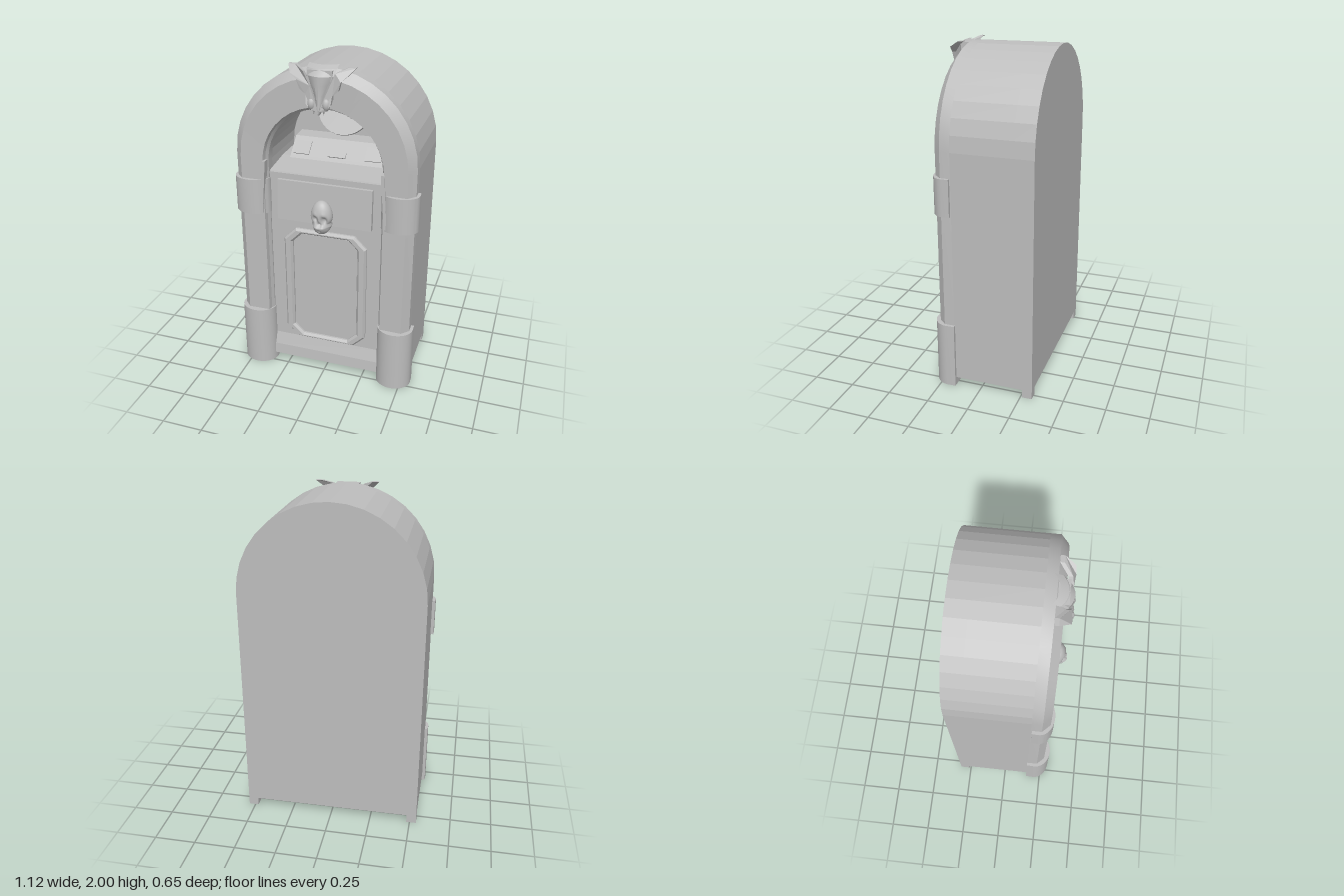
import * as THREE from 'three';
import { toCreasedNormals } from 'three/addons/utils/BufferGeometryUtils.js';

const grey = new THREE.MeshStandardMaterial({ color: 0xbdbdbd });

// Outlines of the cabinet and of its arched opening, from +x over the top to -x
const STEPS = 18;
function arch(halfWidth, springY, bottomY) {
  const pts = [new THREE.Vector2(halfWidth, bottomY)];
  for (let i = 0; i <= STEPS; i++) {
    const a = (i / STEPS) * Math.PI;
    pts.push(new THREE.Vector2(halfWidth * Math.cos(a), springY + halfWidth * Math.sin(a)));
  }
  pts.push(new THREE.Vector2(-halfWidth, bottomY));
  return pts;
}
const outer = arch(0.54, 1.447, 0.05);
const inner = arch(0.345, 1.405, 0.05);

function add(parent, name, geo, x = 0, y = 0, z = 0) {
  const mesh = new THREE.Mesh(geo, grey);
  mesh.name = name;
  mesh.position.set(x, y, z);
  parent.add(mesh);
  return mesh;
}
const box = (w, h, d) => new THREE.BoxGeometry(w, h, d);
const extrude = (shape, depth, opts = {}) =>
  new THREE.ExtrudeGeometry(shape, { depth, bevelEnabled: false, curveSegments: 14, ...opts });

// Profile given as [z, y] points, extruded across the width
function acrossX(points, width) {
  const shape = new THREE.Shape(points.map(([z, y]) => new THREE.Vector2(z, y)));
  return extrude(shape, width).rotateY(-Math.PI / 2).translate(width / 2, 0, 0);
}

// Rectangle with cut corners
function octagon(hw, y0, y1, c) {
  return [[hw - c, y0], [hw, y0 + c], [hw, y1 - c], [hw - c, y1],
    [c - hw, y1], [-hw, y1 - c], [-hw, y0 + c], [c - hw, y0]].map(p => new THREE.Vector2(...p));
}

// Columns and arch as one bevelled band: section points are [inner..outer, z]
function bandGeometry() {
  const section = [[0, 0.16], [0, 0.215], [0.06, 0.235], [0.09, 0.262], [0.78, 0.265], [1, 0.22], [1, 0.16]];
  const pos = [], idx = [], n = section.length;
  outer.forEach((o, i) => {
    for (const [t, z] of section) {
      const p = inner[i].clone().lerp(o, t);
      pos.push(p.x, p.y, z);
    }
  });
  for (let i = 0; i < outer.length - 1; i++) {
    for (let j = 0; j < n - 1; j++) {
      const a = i * n + j, b = a + n;
      idx.push(a, a + 1, b, a + 1, b + 1, b);
    }
  }
  const geo = new THREE.BufferGeometry();
  geo.setAttribute('position', new THREE.Float32BufferAttribute(pos, 3));
  geo.setIndex(idx);
  return toCreasedNormals(geo, 0.25);
}

// D-shaped sleeve wrapped round a column
function sleeve(height, front, back) {
  const shape = new THREE.Shape();
  shape.moveTo(0.108, -back);
  shape.lineTo(-0.108, -back);
  shape.lineTo(-0.11, -0.205);
  shape.absellipse(0, -0.205, 0.11, front - 0.205, Math.PI, Math.PI * 2, false);
  shape.closePath();
  return toCreasedNormals(extrude(shape, height).rotateX(-Math.PI / 2), 0.4);
}

// Skull: a sphere with a narrowed jaw, sunken eyes, nose and cheeks
function skullGeometry() {
  const geo = new THREE.SphereGeometry(1, 36, 30);
  const p = geo.attributes.position;
  const dent = (x, y, cx, cy, r) => Math.exp(-((x - cx) ** 2 + (y - cy) ** 2) / (r * r));
  for (let i = 0; i < p.count; i++) {
    let x = p.getX(i), y = p.getY(i), z = p.getZ(i);
    const jaw = THREE.MathUtils.smoothstep(-y, -0.1, 0.5);
    x *= 1 - 0.2 * jaw;
    if (y < -0.4) { x *= 1.25; z *= 1.35; }
    if (z > 0) {
      const ax = Math.abs(x);
      z -= 0.6 * dent(ax, y, 0.4, -0.02, 0.2) + 0.4 * dent(ax, y, 0, -0.28, 0.12);
      z -= 0.25 * dent(ax, y, 0, -0.66, 0.08) + 0.3 * dent(ax, y, 0.72, -0.45, 0.2);
      z += 0.15 * dent(ax, y, 0.4, 0.25, 0.14);
    }
    p.setXYZ(i, x * 0.066, y * 0.105, z * 0.055);
  }
  geo.computeVertexNormals();
  return geo;
}

// Depth of the crest as it curls forward from the top and hangs down
const crestCurve = [[1.7, 0.285], [1.8, 0.29], [1.86, 0.275], [1.92, 0.285], [1.96, 0.28], [1.985, 0.25], [2, 0.205]];
function crestZ(y) {
  let i = 0;
  while (i < crestCurve.length - 2 && y > crestCurve[i + 1][0]) i++;
  const [y0, z0] = crestCurve[i], [y1, z1] = crestCurve[i + 1];
  return THREE.MathUtils.lerp(z0, z1, (y - y0) / (y1 - y0));
}

function createCrest() {
  const crest = new THREE.Group();
  crest.name = 'wingedCrest';
  const wing = [[0, 1.76], [0.04, 1.77], [0.07, 1.8], [0.075, 1.85], [0.11, 1.88], [0.125, 1.93],
    [0.16, 1.96], [0.19, 1.995], [0.15, 1.995], [0.09, 1.97], [0.05, 1.9]];
  for (const s of [1, -1]) {
    const shape = new THREE.Shape(wing.map(([x, y]) => new THREE.Vector2(s * x, y)));
    const geo = extrude(shape, 0.024);
    const p = geo.attributes.position;
    for (let i = 0; i < p.count; i++) p.setZ(i, p.getZ(i) + crestZ(p.getY(i)));
    geo.computeVertexNormals();
    add(crest, s > 0 ? 'leftWing' : 'rightWing', geo);
    add(crest, 'crestHead', new THREE.SphereGeometry(1, 12, 8).scale(0.022, 0.035, 0.024), s * 0.042, 1.8, 0.298);
    add(crest, 'crestBeak', new THREE.ConeGeometry(0.014, 0.05, 6).rotateX(Math.PI), s * 0.028, 1.765, 0.3);
  }
  // Bulging centre feather, lofted from rows of [y, half width]
  const rows = [[2, 0.085], [1.985, 0.084], [1.95, 0.078], [1.9, 0.06], [1.84, 0.036], [1.78, 0.022], [1.74, 0.004]];
  const geo = new THREE.PlaneGeometry(2, 1, 6, rows.length - 1);
  const p = geo.attributes.position;
  for (let i = 0; i < p.count; i++) {
    const [y, w] = rows[Math.floor(i / 7)], u = p.getX(i);
    p.setXYZ(i, u * w, y, crestZ(y) - 0.005 + 0.035 * (1 - u * u));
  }
  add(crest, 'centreFeather', toCreasedNormals(geo, 0.5));
  add(crest, 'crestMount', box(0.14, 0.16, 0.06), 0, 1.9, 0.255);
  return crest;
}

export function createModel() {
  const model = new THREE.Group();
  model.name = 'jukebox';

  // Cabinet: solid back and a shell around the arched opening
  add(model, 'cabinetBack', extrude(new THREE.Shape(outer), 0.12), 0, 0, -0.32);
  const shell = new THREE.Shape(outer);
  shell.holes.push(new THREE.Path(arch(0.345, 1.405, 1.33)));
  add(model, 'cabinetShell', extrude(shell, 0.36), 0, 0, -0.2);
  add(model, 'archBand', bandGeometry());

  // Lower front with a flared skirt and a lip under the opening
  add(model, 'frontPanel', box(0.69, 1.28, 0.1), 0, 0.69, 0.155);
  add(model, 'skirt', acrossX([[0.15, 0.05], [0.235, 0.05], [0.228, 0.12], [0.205, 0.2], [0.15, 0.2]], 0.69));
  add(model, 'shelfLip', box(0.68, 0.014, 0.07), 0, 1.335, 0.185);

  // Door frame with cut corners
  const frame = new THREE.Shape(octagon(0.26, 0.21, 0.99, 0.075));
  frame.holes.push(new THREE.Path(octagon(0.205, 0.24, 0.96, 0.06)));
  add(model, 'doorFrame', extrude(frame, 0.012,
    { bevelEnabled: true, bevelSize: 0.012, bevelOffset: -0.012, bevelThickness: 0.014, bevelSegments: 1 }), 0, 0, 0.205);
  add(model, 'doorPanel', extrude(new THREE.Shape(octagon(0.2, 0.245, 0.955, 0.06)), 0.006), 0, 0, 0.204);

  // Title plate with skull
  add(model, 'titlePlate', acrossX([[0.2, 1.05], [0.24, 1.05], [0.225, 1.3], [0.2, 1.3]], 0.58));
  add(model, 'skull', skullGeometry(), 0, 1.115, 0.268);

  // Mechanism inside the opening
  add(model, 'slopingShelf', acrossX([[0.2, 1.33], [0.2, 1.342], [-0.01, 1.365], [-0.2, 1.365], [-0.2, 1.33]], 0.69));
  add(model, 'selectorConsole', acrossX([[0.02, 1.36], [0, 1.375], [-0.1, 1.465], [-0.2, 1.47], [-0.2, 1.36]], 0.58));
  const tilt = -Math.atan2(0.1, 0.09);
  add(model, 'selectorSlot', box(0.11, 0.04, 0.012), 0, 1.396, -0.02).rotation.x = tilt;
  for (const s of [1, -1]) {
    add(model, 'selectorTile', box(0.1, 0.09, 0.012), s * 0.225, 1.412, -0.04).rotation.x = tilt;
  }
  const record = new THREE.CylinderGeometry(0.17, 0.17, 0.02, 32).rotateX(Math.PI / 2);
  add(model, 'record', record, 0, 1.64, -0.19).rotation.x = -0.5;

  // Column sleeves, arch inner tips and rear feet
  for (const s of [1, -1]) {
    add(model, 'footSleeve', sleeve(0.4, 0.3, 0.155), s * 0.45, 0, 0);
    add(model, 'upperSleeve', sleeve(0.22, 0.287, 0.165), s * 0.45, 1.08, 0);
    const tip = new THREE.Shape([[0.345, 1.42], [0.365, 1.42], [0.388, 1.09], [0.372, 1.09]]
      .map(([x, y]) => new THREE.Vector2(s * x, y)));
    add(model, 'archTip', extrude(tip, 0.045), 0, 0, 0.225);
    add(model, 'rearFoot', box(0.06, 0.06, 0.06), s * 0.51, 0.03, -0.29);
  }

  model.add(createCrest());
  return model;
}
